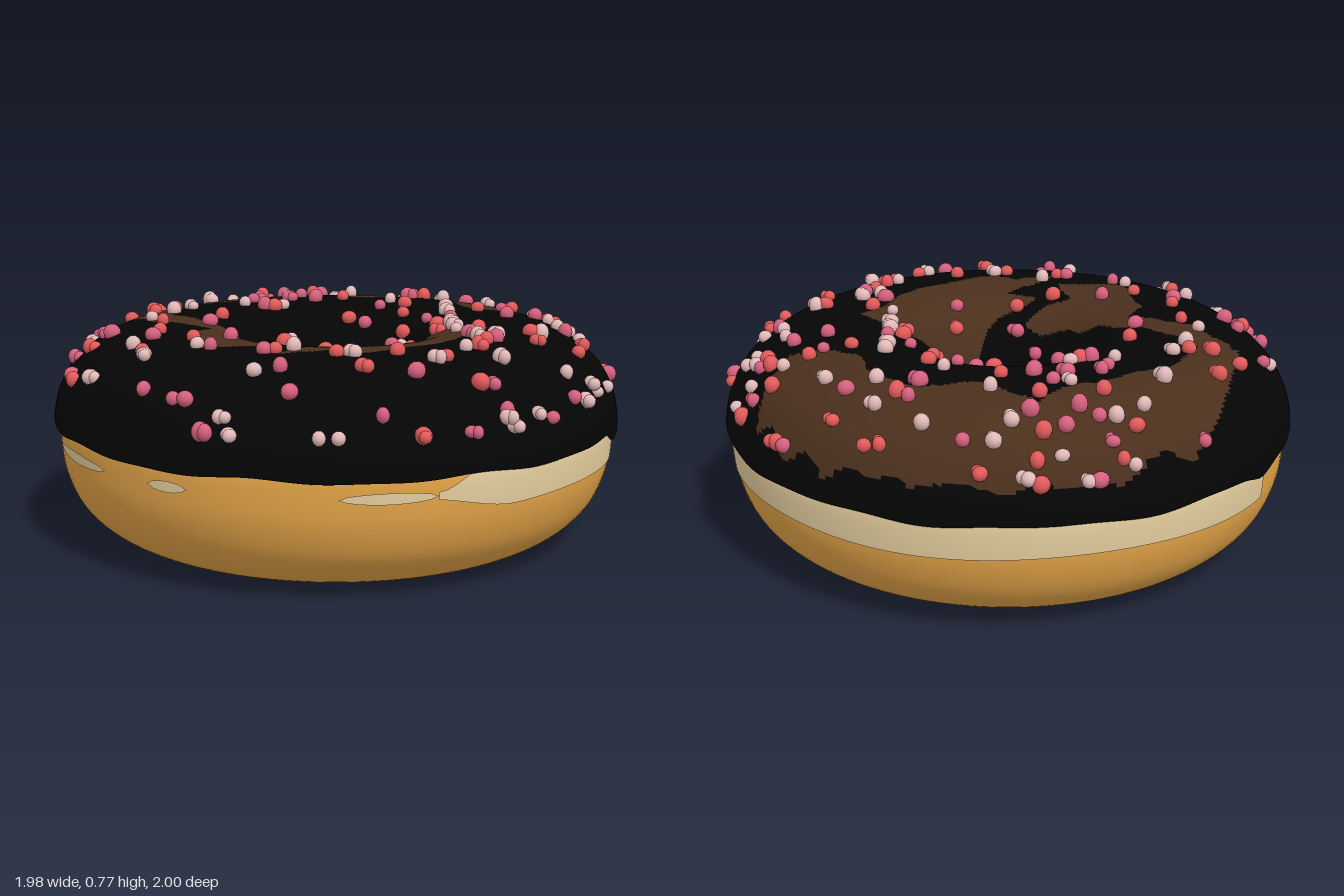
import * as THREE from 'three';
import { mergeGeometries } from 'three/addons/utils/BufferGeometryUtils.js';

const paint = (name, color) => {
  const m = new THREE.MeshStandardMaterial({ color });
  m.name = name;
  return m;
};
const spline = (pairs, n) =>
  new THREE.SplineCurve(pairs.map(([x, y]) => new THREE.Vector2(x, y))).getSpacedPoints(n);
const rad = THREE.MathUtils.degToRad;
const offsetZ = -0.01;

// Ring profiles as [radius, height]
const doughProfile = spline([[0.235, 0.46], [0.222, 0.36], [0.238, 0.25], [0.287, 0.157], [0.37, 0.092], [0.46, 0.042],
  [0.54, 0.012], [0.63, 0.002], [0.74, 0.02], [0.84, 0.072], [0.915, 0.15], [0.957, 0.25], [0.97, 0.35], [0.965, 0.44],
  [0.92, 0.54]], 72);
const icingProfile = spline([[0.955, 0.45], [0.966, 0.42], [0.98, 0.41], [0.99, 0.43], [0.97, 0.52], [0.915, 0.61], [0.83, 0.675],
  [0.74, 0.713], [0.6, 0.728], [0.46, 0.723], [0.35, 0.69], [0.265, 0.61], [0.215, 0.51], [0.2, 0.42], [0.206, 0.345],
  [0.228, 0.325]], 96);
const icingWidest = icingProfile.reduce((best, p, i) => (p.x > icingProfile[best].x ? i : best), 0);

// Linear lookup along a profile
function lookup(points, key, other, value, from, step) {
  for (let i = from; points[i + step]; i += step) {
    const a = points[i], b = points[i + step];
    if ((a[key] - value) * (b[key] - value) <= 0 && a[key] !== b[key])
      return THREE.MathUtils.lerp(a[other], b[other], (value - a[key]) / (b[key] - a[key]));
  }
  return points[from][other];
}
const doughRadius = y => lookup(doughProfile, 'y', 'x', y, doughProfile.length - 1, -1);
const icingHeight = r => lookup(icingProfile, 'x', 'y', r, icingWidest, 1);

// Brown patches on the icing, outlined in x, z
const patches = [
  [[-0.52, -0.6], [-0.36, -0.75], [-0.2, -0.88], [0, -0.95], [0.32, -0.92], [0.58, -0.78], [0.78, -0.58], [0.92, -0.32],
    [0.965, -0.1], [0.95, 0.03], [0.88, 0.12], [0.74, 0.2], [0.62, 0.1], [0.6, 0], [0.64, -0.2], [0.58, -0.34], [0.4, -0.43],
    [0.36, -0.63], [0.15, -0.62], [0, -0.65], [-0.2, -0.64], [-0.4, -0.57]],
  [[-0.5, -0.58], [-0.38, -0.6], [-0.38, -0.4], [-0.33, -0.2], [-0.3, 0], [-0.2, 0.2], [-0.37, 0.15], [-0.45, 0.27],
    [-0.62, 0.15], [-0.52, -0.12], [-0.41, -0.18], [-0.52, -0.4]],
  [[-0.5, 0.39], [-0.25, 0.32], [-0.3, 0.25], [-0.1, 0.25], [0.08, 0.17], [0.2, 0.18], [0.3, 0.2], [0.35, 0.34], [0.38, 0.41],
    [0.24, 0.43], [0.15, 0.5], [-0.1, 0.55], [-0.3, 0.52], [-0.35, 0.42]],
];
function inside(poly, x, z) {
  let hit = false;
  poly.forEach(([ax, az], i) => {
    const [bx, bz] = poly[(i + 1) % poly.length];
    if ((az > z) !== (bz > z) && x < ax + (bx - ax) * (z - az) / (bz - az)) hit = !hit;
  });
  return hit;
}
function isBrown(x, y, z) {
  const r = Math.hypot(x, z);
  if (r > 0.9 && y < 0.48) return false;
  if (r < 0.25 && y < 0.47) return z > x;
  const wobble = 0.012 * Math.sin(23 * x + 31 * z);
  return patches.some(p => inside(p, x + wobble, z + wobble));
}

// Icing ring with a wavy, dripping lower edge
function icingGeometry() {
  const geo = new THREE.LatheGeometry(icingProfile, 220);
  const pos = geo.attributes.position;
  for (let i = 0; i < pos.count; i++) {
    const x = pos.getX(i), y = pos.getY(i), z = pos.getZ(i), a = Math.atan2(x, z);
    if (Math.hypot(x, z) < 0.5) continue;
    const drip = (deg, depth, width) => depth * Math.exp(-(((a - rad(deg)) / rad(width)) ** 2));
    const drop = 0.005 * Math.sin(9 * a) + 0.003 * Math.sin(17 * a + 1) + drip(38, 0.045, 5) + drip(-159, 0.03, 5);
    pos.setY(i, y - drop * (1 - THREE.MathUtils.smoothstep(y, 0.41, 0.5)));
  }
  const black = [], brown = [], index = geo.index.array;
  for (let i = 0; i < index.length; i += 3) {
    const f = [index[i], index[i + 1], index[i + 2]];
    const mid = get => f.reduce((s, v) => s + pos[get](v), 0) / 3;
    (isBrown(mid('getX'), mid('getY'), mid('getZ')) ? brown : black).push(...f);
  }
  geo.setIndex([...black, ...brown]);
  geo.addGroup(0, black.length, 0);
  geo.addGroup(black.length, brown.length, 1);
  return geo;
}

// Thin pale strip hugging the dough between two heights
function paleStrip(fromDeg, toDeg, low, high) {
  const cols = Math.ceil((toDeg - fromDeg) / 1.5), rows = 6;
  const geo = new THREE.CylinderGeometry(1, 1, 1, cols, rows, true);
  const pos = geo.attributes.position;
  for (let i = 0; i < pos.count; i++) {
    const u = (i % (cols + 1)) / cols, t = pos.getY(i) + 0.5;
    const deg = fromDeg + u * (toDeg - fromDeg), a = rad(deg);
    const y = THREE.MathUtils.lerp(low(deg, u), high(deg, u), t), r = doughRadius(y) + 0.004;
    pos.setXYZ(i, r * Math.sin(a), y, r * Math.cos(a));
  }
  geo.computeVertexNormals();
  return geo;
}

// Where the sprinkles lie: x, z pairs in hundredths of a unit
const redSpots = [23, -92, 14, -87, 49, -86, 47, -81, 41, -76, 14, -71, 62, -73, -30, -76, -44, -71, -39, -63, -32, -59, 32, -62,
  2, -44, 33, -43, 80, -46, 83, -42, 66, -34, 85, -27, 23, -25, 44, -18, 97, -10, 37, -10, -78, -37, -51, -34, -25, -37, -61, -18,
  -78, 1, -59, 1, -35, 19, -49, 35, -36, 50, -19, 59, -37, 65, -9, 71, -7, 85, -34, 93, 9, 65, 17, 60, 34, 65, 51, 68, 41, 55,
  62, 58, 29, 42, 72, 11, 79, 27, 81, 21, 95, 16, 87, 9, 57, 9, 30, -1, 33, 15, 28, 20, 3, 27, -22, 24, 83, 49, -91, -24];
const pinkSpots = [-7, -95, 33, -95, 24, -88, 23, -80, 34, -78, 26, -74, 40, -68, 62, -64, -60, -66, 5, -59, 15, -54, 1, -57,
  -1, -46, 23, -57, 23, -47, 57, -33, 65, -39, 76, -20, 36, -23, 26, -19, 97, -14, -80, -45, -69, -44, -70, -36, -36, -27, -89, -29,
  -67, -12, -47, 5, -18, -6, -15, -13, -19, -1, -18, 18, -19, 9, -62, 17, -88, 20, -83, 37, -85, 33, -84, 47, -57, 50, -52, 33,
  -61, 61, -42, 82, -18, 95, -24, 75, -3, 93, -3, 86, 15, 95, 22, 59, 29, 89, 20, 48, -2, 34, 25, 10, 40, 14, 37, 4, 66, 12,
  92, 13, 83, 25, 79, 56, 63, 49, 57, 25, 69, 27, 12, -21, -2, -21];
const paleSpots = [20, -94, 36, -93, 7, -82, -9, -73, 47, -68, 55, -70, 40, -84, 51, -82, 18, -82, -63, -66, -36, -53, -6, -52,
  6, -44, 19, -61, 42, -50, 68, -51, 66, -22, 74, -34, 44, -27, 77, -9, -1, -28, 4, -22, -50, -44, -26, -58, -91, -11, -76, -9,
  -64, 12, -79, 4, -64, 46, -79, 50, -82, 57, -42, 35, -32, 52, -61, 76, -58, 82, -13, 70, -2, 97, -4, 94, 9, 94, 9, 76, 4, 65,
  32, 82, 35, 88, 43, 82, 45, 83, 57, 76, 44, 57, 19, 53, 26, 54, 25, 35, 46, 4, 26, 3, 50, -1, 31, 26, 35, 20, 80, 14, 89, 20,
  93, 24, 82, 30, 79, 35, 82, 37, 64, 44, 68, 35, 68, 51];

// Small uneven balls resting on the icing, some of them doubled
function sprinkleGeometry(spots, seed) {
  const random = () => (seed = (seed * 16807) % 2147483647) / 2147483647;
  const balls = [];
  for (let i = 0; i < spots.length; i += 2) {
    const x = spots[i] / 100, z = spots[i + 1] / 100 - offsetZ;
    const spread = Math.hypot(x, z), r = THREE.MathUtils.clamp(spread, 0.225, 0.965);
    const size = 0.021 + 0.007 * random();
    const ball = (dx, dz, s) => balls.push(new THREE.SphereGeometry(s, 12, 8)
      .scale(1, 0.9 + 0.3 * random(), 0.9 + 0.3 * random())
      .rotateY(random() * 6).translate(x * r / spread + dx, icingHeight(r) + 0.012, z * r / spread + dz));
    ball(0, 0, size);
    if (random() < 0.3) ball(0.02 * (random() - 0.5), 0.02, size * 0.85);
  }
  return mergeGeometries(balls);
}

export function createModel() {
  const group = new THREE.Group();
  group.name = 'donut';
  const add = (name, geo, mat) => {
    const mesh = new THREE.Mesh(geo, mat);
    mesh.name = name;
    mesh.position.z = offsetZ;
    group.add(mesh);
  };

  // Dough and pale proofing line
  const cream = paint('cream', 0xe6cf9f);
  add('dough', new THREE.LatheGeometry(doughProfile, 128), paint('golden dough', 0xe5a548));
  add('paleBand', paleStrip(-17, 203,
    deg => 0.3 + 0.006 * Math.sin(rad(deg * 5)) + 0.055 * (1 - THREE.MathUtils.smoothstep(deg, -20, 0)),
    deg => 0.37 + 0.06 * THREE.MathUtils.smoothstep(deg, -17, -8)), cream);
  const arch = u => 0.018 * Math.sqrt(Math.max(0, Math.sin(Math.PI * u)));
  for (const [from, to] of [[-35, -17], [-72, -63], [-108, -84]])
    add('paleSpot', paleStrip(from, to, (d, u) => 0.358 - arch(u), (d, u) => 0.358 + arch(u)), cream);

  // Icing
  add('icing', icingGeometry(), [paint('black icing', 0x050505), paint('brown icing', 0x4a2f1c)]);

  // Sprinkles
  add('redSprinkles', sprinkleGeometry(redSpots, 7), paint('red sprinkle', 0xe25a5a));
  add('pinkSprinkles', sprinkleGeometry(pinkSpots, 19), paint('pink sprinkle', 0xd6607e));
  add('paleSprinkles', sprinkleGeometry(paleSpots, 43), paint('pale sprinkle', 0xe2bab8));
  return group;
}
